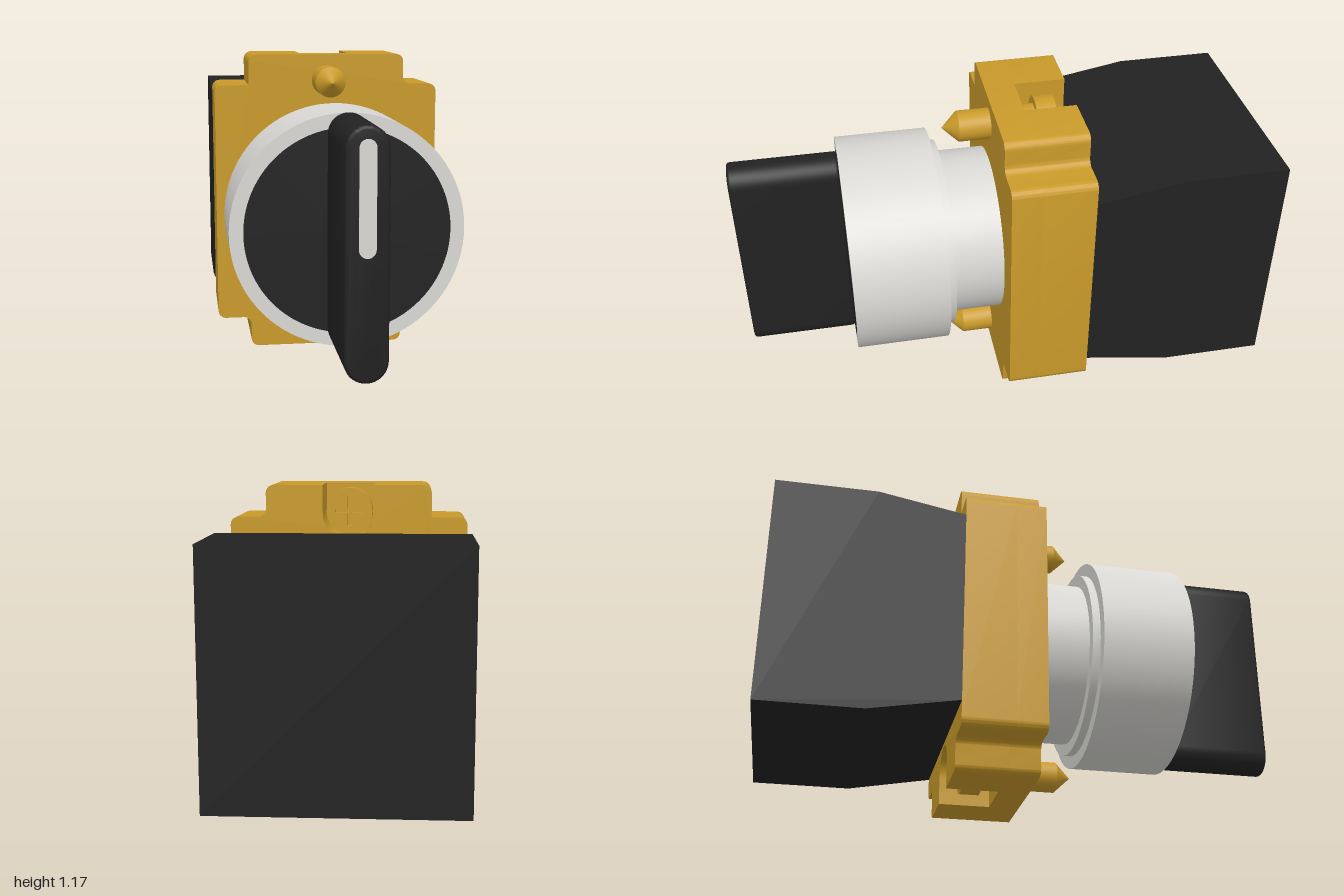
import * as THREE from 'three';
import { toCreasedNormals } from 'three/addons/utils/BufferGeometryUtils.js';

const CY = 0.585; // height of the switch axis
const gold = new THREE.MeshStandardMaterial({ color: 0xc99a2a });
const black = new THREE.MeshStandardMaterial({ color: 0x222222 });
const silver = new THREE.MeshStandardMaterial({ color: 0xd9d8d4 });

function add(parent, name, geometry, material, x = 0, y = 0, z = 0) {
  const mesh = new THREE.Mesh(geometry, material);
  mesh.name = name;
  mesh.position.set(x, y, z);
  parent.add(mesh);
  return mesh;
}

// Closed outline from [x, y, cornerRadius] points
function roundedShape(pts) {
  const shape = new THREE.Shape();
  const K = 0.5523;
  pts.forEach(([x, y, r = 0], i) => {
    const corner = new THREE.Vector2(x, y);
    const toward = (p, d) => {
      const q = new THREE.Vector2(p[0], p[1]);
      return q.sub(corner).setLength(d).add(corner);
    };
    const prev = pts[(i + pts.length - 1) % pts.length];
    const next = pts[(i + 1) % pts.length];
    const a = toward(prev, r), b = toward(next, r);
    if (i === 0) shape.moveTo(a.x, a.y);
    else shape.lineTo(a.x, a.y);
    if (r > 0) {
      const c = toward(prev, r * (1 - K)), d = toward(next, r * (1 - K));
      shape.bezierCurveTo(c.x, c.y, d.x, d.y, b.x, b.y);
    }
  });
  shape.closePath();
  return shape;
}

function extrude(shape, depth, bevel = 0) {
  const geo = new THREE.ExtrudeGeometry(shape, {
    depth: depth - 2 * bevel, curveSegments: 12, bevelEnabled: bevel > 0,
    bevelSize: bevel, bevelOffset: -bevel, bevelThickness: bevel, bevelSegments: 3,
  });
  geo.translate(0, 0, bevel);
  return toCreasedNormals(geo, 0.6);
}

// Solid of revolution about z from [radius, z] points
function turned(profile, segments = 64) {
  const geo = new THREE.LatheGeometry(profile.map(([r, z]) => new THREE.Vector2(r, z)), segments);
  geo.rotateX(Math.PI / 2);
  return toCreasedNormals(geo, 0.5);
}

// Upright slot shape with round ends
function slot(halfWidth, y0, y1) {
  const s = new THREE.Shape();
  s.absarc(0, y1 - halfWidth, halfWidth, 0, Math.PI);
  s.absarc(0, y0 + halfWidth, halfWidth, Math.PI, 2 * Math.PI);
  s.closePath();
  return s;
}

// Plate outline, optionally with the U-shaped screw pockets
function plateShape(pockets) {
  const W = 0.437, N = 0.305, H = 1.17, lo = 0.12, hi = 1.053, r = 0.03, p = 0.095;
  const bottom = pockets ? [[-p, 0], [-p, 0.198, p * 0.99], [p, 0.198, p * 0.99], [p, 0]] : [];
  const top = pockets ? [[p, H], [p, 0.972, p * 0.99], [-p, 0.972, p * 0.99], [-p, H]] : [];
  return roundedShape([
    [-N, 0, r], ...bottom, [N, 0, r], [N, lo, r], [W, lo, r], [W, hi, r], [N, hi, r], [N, H, r],
    ...top, [-N, H, r], [-N, hi, 0], [-W, hi, r], [-W, lo, r], [-N, lo, r],
  ]);
}

// Screw with a cross-slotted head at the back and a pointed tip at the front
function makeScrew(name, y) {
  const screw = new THREE.Group();
  screw.name = name;
  screw.position.y = y;
  add(screw, 'screwShank', turned([[0, -0.15], [0.058, -0.15], [0.058, 0.14], [0, 0.2]], 32), gold);
  add(screw, 'screwHeadBase', turned([[0, -0.2], [0.086, -0.2], [0.086, -0.15], [0, -0.15]], 32), gold);
  const face = new THREE.Shape();
  face.absarc(0, 0, 0.086, 0, 2 * Math.PI);
  const cross = new THREE.Path();
  const a = 0.055, w = 0.008;
  [[w, w], [w, a], [-w, a], [-w, w], [-a, w], [-a, -w], [-w, -w], [-w, -a], [w, -a], [w, -w], [a, -w], [a, w]]
    .forEach(([x, yy], i) => (i ? cross.lineTo(x, yy) : cross.moveTo(x, yy)));
  cross.closePath();
  face.holes.push(cross);
  add(screw, 'screwHeadFace', extrude(face, 0.025), gold, 0, 0, -0.225);
  return screw;
}

export function createModel() {
  const model = new THREE.Group();
  model.name = 'selectorSwitch';

  // Mounting plate: solid front layer, pocketed back layer
  const plate = new THREE.Group();
  plate.name = 'mountingPlate';
  model.add(plate);
  add(plate, 'plateFront', extrude(plateShape(false), 0.115), gold, 0, 0, -0.095);
  add(plate, 'plateBack', extrude(plateShape(true), 0.195), gold, 0, 0, -0.29);
  model.add(makeScrew('topScrew', 1.07), makeScrew('bottomScrew', 0.103));

  // Contact block: side profile (z, y) extruded across x
  const block = new THREE.Shape([
    [-1, 0.15], [-0.62, 0.15], [-0.29, 0.21], [-0.29, 0.965], [-0.62, 1.023], [-1, 1.023],
  ].map(([z, y]) => new THREE.Vector2(z, y)));
  const blockGeo = new THREE.ExtrudeGeometry(block, { depth: 0.874, bevelEnabled: false });
  blockGeo.translate(0, 0, -0.437);
  blockGeo.rotateY(-Math.PI / 2);
  add(model, 'contactBlock', blockGeo, black);

  // Neck, stepped collar and bezel ring
  add(model, 'bezel', turned([
    [0.32, 0.02], [0.32, 0.21], [0.365, 0.21], [0.365, 0.24], [0.415, 0.24],
    [0.415, 0.592], [0.365, 0.592], [0.365, 0.55],
  ], 96), silver, 0, CY, 0);

  // Rotary dial with its grip and pointer
  const dial = new THREE.Group();
  dial.name = 'dial';
  model.add(dial);
  add(dial, 'dialFace', turned([[0.365, 0.55], [0.365, 0.593], [0, 0.593]], 96), black, 0, CY, 0);
  add(dial, 'grip', extrude(slot(0.073, 0.17, 1.002), 0.407, 0.012), black, 0, 0, 0.59);
  add(dial, 'pointer', extrude(slot(0.028, 0.583, 0.96), 0.02), silver, 0, 0, 0.98);

  return model;
}
